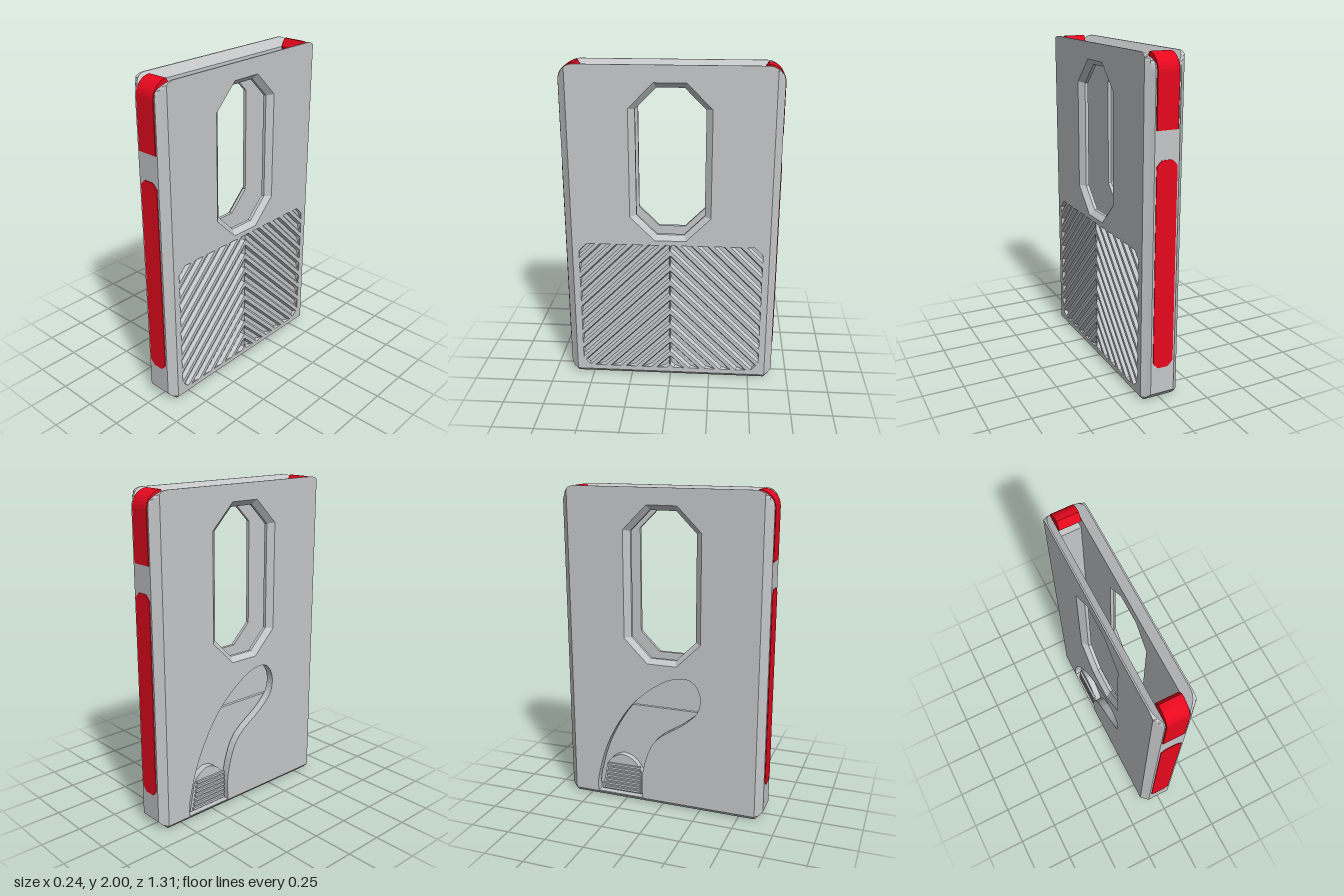
import * as THREE from 'three';

const grey = new THREE.MeshStandardMaterial({ color: 0xc5c7c9, side: THREE.DoubleSide });
grey.name = 'grey shell';
const red = new THREE.MeshStandardMaterial({ color: 0xe8081e });
red.name = 'red trim';

const WINDOW_OUT = octagon(0.245, 0.94, 1.9, 0.15);
const WINDOW_IN = octagon(0.207, 0.97, 1.868, 0.125);
const FACE = 0.118, INNER = 0.068;

function octagon(w, y0, y1, c) {
  return [[-w + c, y0], [w - c, y0], [w, y0 + c], [w, y1 - c],
    [w - c, y1], [-w + c, y1], [-w, y1 - c], [-w, y0 + c]];
}

function toShape(points, holes = []) {
  const shape = new THREE.Shape(points.map(([x, y]) => new THREE.Vector2(x, y)));
  for (const h of holes) shape.holes.push(new THREE.Path(h.map(([x, y]) => new THREE.Vector2(x, y))));
  return shape;
}

function add(group, name, geometry, material) {
  const mesh = new THREE.Mesh(geometry, material);
  mesh.name = name;
  group.add(mesh);
}

function box(group, name, x0, x1, y0, y1, z0, z1) {
  const g = new THREE.BoxGeometry(x1 - x0, y1 - y0, z1 - z0);
  add(group, name, g.translate((x0 + x1) / 2, (y0 + y1) / 2, (z0 + z1) / 2), grey);
}

// Flat face at a given depth
function flat(points, depth, holes) {
  return new THREE.ShapeGeometry(toShape(points, holes)).translate(0, 0, depth);
}

// Band of flat quads between two closed loops of [x, y, z]
function loft(a, b) {
  const pos = [];
  a.forEach((p, i) => {
    const j = (i + 1) % a.length;
    pos.push(...p, ...b[i], ...b[j], ...p, ...b[j], ...a[j]);
  });
  const g = new THREE.BufferGeometry();
  g.setAttribute('position', new THREE.Float32BufferAttribute(pos, 3));
  g.computeVertexNormals();
  return g;
}
const at = (loop, z) => loop.map(([x, y]) => [x, y, z]);

// Plate outline: cut bottom corners, rounded top corners trimmed to half width w
function outline(w, y0, cut) {
  const pts = [[-w + cut, y0], [w - cut, y0], [w, y0 + cut]];
  for (const s of [1, -1]) {
    for (let i = 0; i <= 10; i++) {
      const t = (s > 0 ? i : 10 - i) / 10 * Math.PI / 2;
      pts.push([s * Math.min(w, 0.55 + 0.1 * Math.cos(t)), 1.9 + 0.1 * Math.sin(t)]);
    }
  }
  pts.push([-w, y0 + cut]);
  return pts;
}

// Keep the part of a convex polygon where f >= 0
function clip(poly, f) {
  const out = [];
  poly.forEach((p, i) => {
    const q = poly[(i + 1) % poly.length], a = f(p), b = f(q);
    if (a >= 0) out.push(p);
    if (a * b < 0) {
      const t = a / (a - b);
      out.push([p[0] + (q[0] - p[0]) * t, p[1] + (q[1] - p[1]) * t]);
    }
  });
  return out;
}

// Chevron grip grooves, as pairs of top and floor loops
function gripGrooves() {
  const half = [[-0.515, 0.055], [-0.002, 0.055], [-0.002, 0.91],
    [-0.515, 0.91], [-0.565, 0.86], [-0.565, 0.105]];
  const grooves = [];
  for (let c = 0.11; c < 1.45; c += 0.1) {
    const top = clip(clip(half, ([x, y]) => y - x - c + 0.034), ([x, y]) => c + 0.034 - y + x);
    if (top.length < 3) continue;
    const floor = top.map(([x, y]) => {
      const d = (y - x - c) / 4;
      return [x + d, y - d];
    });
    const flip = (loop) => loop.map(([x, y]) => [-x, y]).reverse();
    grooves.push([top, floor], [flip(top), flip(floor)]);
  }
  return grooves;
}

// Swept thumb slot, in (z, y)
function thumbSlot() {
  const curve = new THREE.SplineCurve([[-0.135, 0.03], [-0.13, 0.22], [-0.05, 0.43], [0.14, 0.57],
    [0.235, 0.67], [0.24, 0.79], [0.165, 0.865], [0.01, 0.83], [-0.2, 0.66], [-0.36, 0.4],
    [-0.44, 0.14], [-0.445, 0.03]].map(([x, y]) => new THREE.Vector2(x, y)));
  return curve.getPoints(48).map((p) => [p.x, p.y]);
}

// Side plate drawn in XY with its outer face towards +Z
function sidePlate(name, grooves, slots) {
  const g = new THREE.Group();
  g.name = name;
  const funnel = (y) => INNER + (y - 1.95) * 0.84;
  const rim = (loop, z) => loop.map(([x, y]) => [x, y, Math.max(z, funnel(y))]);
  const a = outline(0.605, 0.025, 0.002);
  const b = outline(0.628, 0, 0.028);
  const c = outline(0.65, 0, 0.05);
  const d = c.map(([x, y]) => [x, Math.min(y, 1.95)]);
  add(g, 'outerFace', flat(a, FACE, [WINDOW_OUT, ...slots, ...grooves.map((v) => v[0])]), grey);
  add(g, 'innerFace', flat(d, INNER, [WINDOW_IN, ...slots]), grey);
  add(g, 'bottomBevel', loft(at(a, FACE), rim(b, 0.095)), grey);
  add(g, 'edgeBevel', loft(rim(b, 0.095), rim(c, 0.075)), grey);
  add(g, 'mouthBevel', loft(rim(c, 0.075), at(d, INNER)), grey);
  add(g, 'windowBevel', loft(at(WINDOW_IN, 0.088), at(WINDOW_OUT, FACE)), grey);
  add(g, 'windowWall', loft(at(WINDOW_IN, INNER), at(WINDOW_IN, 0.088)), grey);
  for (const s of slots) add(g, 'slotWall', loft(at(s, INNER), at(s, FACE)), grey);
  for (const [top, floor] of grooves) {
    add(g, 'grooveWall', loft(at(floor, 0.095), at(top, FACE)), grey);
    add(g, 'grooveFloor', flat(floor, 0.095), grey);
  }
  return g;
}

// Profile in (z, y) extruded across the thickness, centred on x = 0
function acrossX(points, width) {
  const g = new THREE.ExtrudeGeometry(toShape(points.map(([z, y]) => [-z, y])),
    { depth: width, bevelEnabled: false });
  return g.translate(0, 0, -width / 2).rotateY(Math.PI / 2);
}

// Narrow end: wall, side strip and hooked clip
function endAssembly(name) {
  const g = new THREE.Group();
  g.name = name;
  add(g, 'endWall', acrossX([[0.55, 0], [0.6, 0], [0.65, 0.05], [0.65, 1.6], [0.6, 1.6],
    [0.6, 1.85], [0.55, 1.85]], 0.149), grey);
  const strip = new THREE.ExtrudeGeometry(toShape(octagon(0.0635, 0.215, 1.44, 0.032)),
    { depth: 0.005, bevelEnabled: false });
  add(g, 'edgeStrip', strip.translate(0, 0, 0.649), red);
  const profile = [[0.6, 1.6], [0.653, 1.6]];
  for (let i = 0; i <= 8; i++) {
    const t = i / 8 * Math.PI / 2;
    profile.push([0.556 + 0.097 * Math.cos(t), 1.9 + 0.1 * Math.sin(t)]);
  }
  profile.push([0.528, 1.95], [0.545, 1.92], [0.58, 1.9], [0.6, 1.86]);
  add(g, 'clip', acrossX(profile, 0.128), red);
  return g;
}

export function createModel() {
  const model = new THREE.Group();
  model.name = 'cardHolder';

  const left = sidePlate('gripPlate', gripGrooves(), []);
  left.rotation.y = Math.PI / 2;
  const right = sidePlate('slotPlate', [], [thumbSlot()]);
  right.rotation.y = -Math.PI / 2;

  // Ribbed thumb slider in the slot
  const slider = new THREE.Shape();
  slider.moveTo(-0.425, 0.04).lineTo(-0.15, 0.04).lineTo(-0.15, 0.2);
  slider.quadraticCurveTo(-0.2, 0.3, -0.29, 0.3).quadraticCurveTo(-0.36, 0.28, -0.39, 0.22);
  add(right, 'thumbSlider', new THREE.ExtrudeGeometry(slider, { depth: 0.04, bevelEnabled: false })
    .translate(0, 0, 0.055), grey);
  for (let i = 0; i < 7; i++) {
    box(right, 'sliderRib', -0.405 + i * 0.005, -0.155, 0.05 + i * 0.028, 0.064 + i * 0.028, 0.09, 0.108);
  }

  const front = endAssembly('frontEnd');
  const back = endAssembly('backEnd');
  back.rotation.y = Math.PI;
  model.add(left, right, front, back);

  // Floor with a lowered panel, and stepped card lifter
  box(model, 'floor', -0.07, 0.07, 0.045, 0.06, -0.555, 0.555);
  box(model, 'floorPanel', -0.07, 0.07, 0.012, 0.05, -0.5, 0.25);
  for (let i = 0; i < 5; i++) {
    const x = -0.055 + i * 0.023;
    box(model, 'lifterStep', x, x + 0.022, 0.05, 0.64 - i * 0.1, -0.48 + i * 0.107, 0.505);
  }
  // Small inner retaining bumps
  for (const s of [-1, 1]) {
    const bump = new THREE.CylinderGeometry(0.04, 0.04, 0.6, 16);
    add(model, 'retainingBump', bump.scale(0.35, 1, 1).translate(s * 0.069, 0.36, 0.43), grey);
  }
  return model;
}
